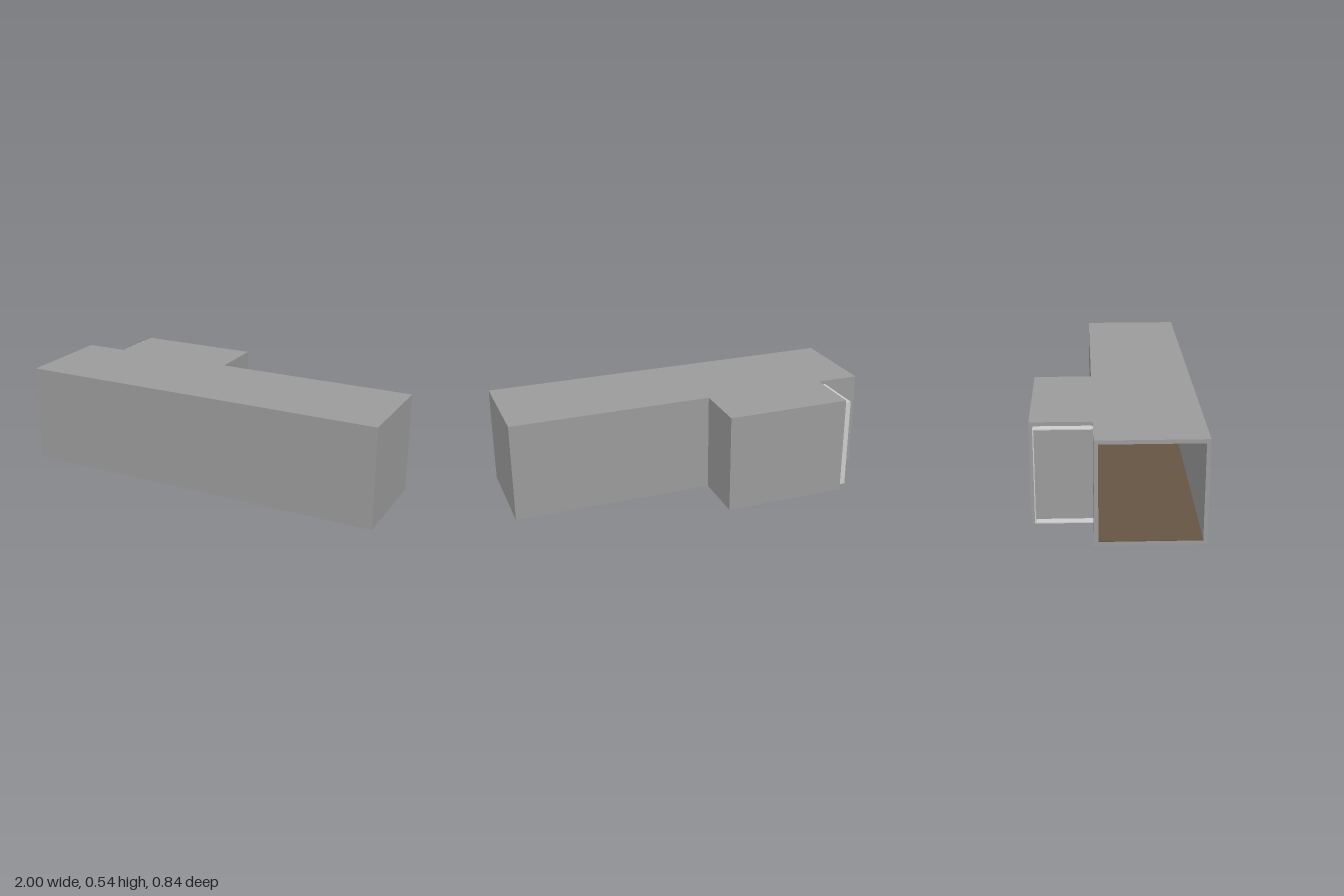
import * as THREE from 'three';

const H = 0.535;  // total height
const T = 0.02;   // wall thickness

// Extrude a plan outline ([x, -z] points) upwards from y0 to y1
function slab(name, points, y0, y1, material) {
  const shape = new THREE.Shape(points.map(([x, y]) => new THREE.Vector2(x, y)));
  const geometry = new THREE.ExtrudeGeometry(shape, { depth: y1 - y0, bevelEnabled: false });
  geometry.rotateX(-Math.PI / 2);
  geometry.translate(0, y0, 0);
  const mesh = new THREE.Mesh(geometry, material);
  mesh.name = name;
  return mesh;
}

function box(name, x0, x1, y0, y1, z0, z1, material) {
  const mesh = new THREE.Mesh(new THREE.BoxGeometry(x1 - x0, y1 - y0, z1 - z0), material);
  mesh.position.set((x0 + x1) / 2, (y0 + y1) / 2, (z0 + z1) / 2);
  mesh.name = name;
  return mesh;
}

export function createModel() {
  const group = new THREE.Group();
  const darkGrey = new THREE.MeshStandardMaterial({ color: 0x9b9b9b });
  const grey = new THREE.MeshStandardMaterial({ color: 0xcccccc });
  const wood = new THREE.MeshStandardMaterial({ color: 0x665544 });

  // Plan of the long hall with its rear bay
  const D = 0.419, B = 0.115, L = -0.765, R = -0.092;
  const outer = [[-1, -D], [1, -D], [1, B], [R, B], [R, D], [L, D], [L, B], [-1, B]];
  // Same plan, inset by the wall thickness but open at the -x end
  const inner = [
    [-1, -D + T], [1 - T, -D + T], [1 - T, B - T], [R - T, B - T],
    [R - T, D - T], [L + T, D - T], [L + T, B - T], [-1, B - T],
  ];

  group.add(slab('base', outer, 0, T, darkGrey));
  group.add(slab('roof', outer, H - T, H, darkGrey));
  group.add(slab('walls', [...outer, ...[...inner].reverse()], T, H - T, darkGrey));
  group.add(slab('woodFloor', inner, T, T + 0.004, wood));

  // Thin hood standing out around the closed side of the bay
  const hood = new THREE.Group();
  hood.name = 'sideHood';
  const p = 0.005, x0 = -0.805, z0 = -0.4;
  hood.add(box('hoodTop', x0, L, H - T - p, H - T, z0, -B, grey));
  hood.add(box('hoodBottom', x0, L, T, T + p, z0, -B, grey));
  hood.add(box('hoodSide', x0, L, T + p, H - T - p, z0, z0 + p, grey));
  group.add(hood);

  return group;
}
